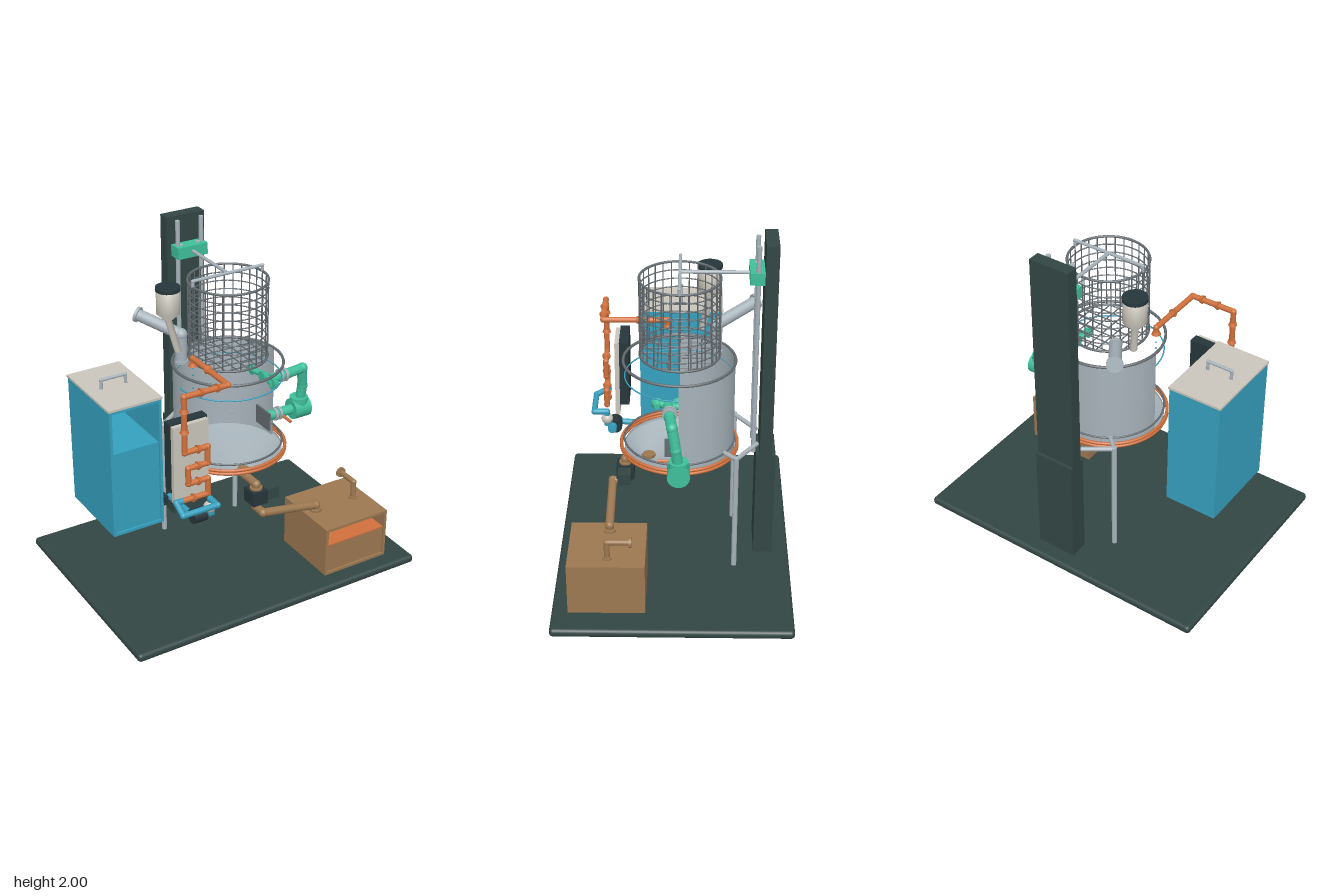
import * as THREE from 'three';
import { mergeGeometries } from 'three/addons/utils/BufferGeometryUtils.js';
import { RoundedBoxGeometry } from 'three/addons/geometries/RoundedBoxGeometry.js';

const material = (name, color, side = THREE.FrontSide) => {
  const m = new THREE.MeshStandardMaterial({ color, side });
  m.name = name;
  return m;
};
const V = (p) => new THREE.Vector3(...p);

export function createModel() {
  const model = new THREE.Group();
  model.name = 'brewingRig';

  const frame = material('darkFrame', 0x324644);
  const motor = material('motorDark', 0x26363a);
  const steel = material('steel', 0xa6b2b9, THREE.DoubleSide);
  const wire = material('wireGrey', 0x646c71);
  const green = material('green', 0x3fbf9b);
  const copper = material('copper', 0xd0703c);
  const brown = material('brown', 0x9c7851);
  const blue = material('blue', 0x35a0be);
  const cream = material('cream', 0xcac6bc);

  const add = (name, geometry, mat, pos = [0, 0, 0]) => {
    const m = new THREE.Mesh(geometry, mat);
    m.name = name;
    m.position.set(...pos);
    model.add(m);
    return m;
  };
  // box from its minimum and maximum corners
  const box = (name, a, b, mat) => add(name,
    new THREE.BoxGeometry(b[0] - a[0], b[1] - a[1], b[2] - a[2]), mat,
    a.map((v, i) => (v + b[i]) / 2));
  // cylinder between two points
  const rodGeo = (a, b, r, r2 = r, sides = 20) => {
    const p = V(a), q = V(b), d = q.clone().sub(p);
    const g = new THREE.CylinderGeometry(r2, r, d.length(), sides);
    g.applyQuaternion(new THREE.Quaternion().setFromUnitVectors(new THREE.Vector3(0, 1, 0), d.normalize()));
    const c = p.add(q).multiplyScalar(0.5);
    return g.translate(c.x, c.y, c.z);
  };
  const rod = (name, a, b, r, mat, r2, sides) => add(name, rodGeo(a, b, r, r2, sides), mat);
  // pipe through points with round joints
  const pipe = (name, pts, r, mat) => {
    const parts = [];
    for (let i = 0; i < pts.length - 1; i++) {
      parts.push(rodGeo(pts[i], pts[i + 1], r, r, 16));
      if (i) parts.push(new THREE.SphereGeometry(r * 1.08, 16, 10).translate(...pts[i]));
    }
    return add(name, mergeGeometries(parts), mat);
  };
  const ringGeo = (r, tube, y, seg = 64) => new THREE.TorusGeometry(r, tube, 8, seg).rotateX(Math.PI / 2).translate(0, y, 0);

  // base plate, feet and mast
  add('basePlate', new RoundedBoxGeometry(1.83, 0.05, 1.33, 4, 0.022), frame, [0, 0.053, 0]);
  for (const x of [-0.755, 0.755]) for (const z of [-0.52, 0.52])
    rod('foot', [x, 0, z], [x, 0.035, z], 0.045, frame);
  box('mast', [-0.07, 0.07, -0.55], [0.17, 2, -0.48], frame);
  box('mastFoot', [-0.07, 0.07, -0.57], [0.17, 0.735, -0.46], frame);

  // lift rails, carriage and arm
  for (const x of [-0.02, 0.13]) rod('rail', [x, 0.74, -0.445], [x, 1.985, -0.445], 0.013, steel);
  box('carriage', [-0.043, 1.77, -0.48], [0.147, 1.838, -0.4], green);
  for (const x of [-0.005, 0.105]) rod('carriageBolt', [x, 1.838, -0.44], [x, 1.842, -0.44], 0.014, steel);
  pipe('liftArm', [[0.053, 1.805, -0.42], [0.053, 1.805, -0.03]], 0.01, steel);

  // wire basket
  const bx = 0.055, bz = -0.03, br = 0.22, y0 = 1.32, y1 = 1.77;
  const wires = [ringGeo(br, 0.007, y0), ringGeo(br, 0.007, y1)];
  for (let i = 1; i < 9; i++) wires.push(ringGeo(br, 0.0035, y0 + (y1 - y0) * i / 9, 48));
  for (let i = 0; i < 28; i++) {
    const a = i / 28 * Math.PI * 2, x = Math.cos(a) * br, z = Math.sin(a) * br;
    wires.push(rodGeo([x, y0, z], [x, y1, z], 0.0035, 0.0035, 6));
  }
  for (let i = -3; i <= 3; i++) {
    const d = i * 0.06, h = Math.sqrt(br * br - d * d);
    wires.push(rodGeo([d, y0, -h], [d, y0, h], 0.0035, 0.0035, 6));
    wires.push(rodGeo([-h, y0, d], [h, y0, d], 0.0035, 0.0035, 6));
  }
  add('basket', mergeGeometries(wires), wire, [bx, 0, bz]);
  pipe('basketHandle', [[bx - br, y1, bz], [bx - br, 1.805, bz], [bx + br, 1.805, bz], [bx + br, y1, bz]], 0.009, steel);

  // vessel: rear half wall, full rim and an off-centre funnel floor
  const cx = 0.053, cz = -0.028;
  const wall = [[0.308, 0.72], [0.308, 1.28], [0.3, 1.28], [0.3, 0.72]].map((p) => new THREE.Vector2(...p));
  add('vesselWall', new THREE.LatheGeometry(wall, 48, Math.PI / 2, Math.PI), steel, [cx, 0, cz]);
  add('vesselRim', ringGeo(0.31, 0.008, 1.28), wire, [cx, 0, cz]);
  add('lowerLip', ringGeo(0.31, 0.006, 0.79), wire, [cx, 0, cz]);
  add('fillLine', ringGeo(0.303, 0.004, 1.185), blue, [cx, 0, cz]);
  const floor = new THREE.LatheGeometry([[0.035, 0.655], [0.31, 0.72], [0.31, 0.745]].map((p) => new THREE.Vector2(...p)), 64);
  const fp = floor.attributes.position;
  for (let i = 0; i < fp.count; i++) fp.setZ(i, fp.getZ(i) + 0.173 * THREE.MathUtils.clamp((0.72 - fp.getY(i)) / 0.065, 0, 1));
  floor.computeVertexNormals();
  add('vesselFloor', floor, steel, [cx, 0, cz]);
  for (const y of [0.742, 0.762]) add('heatingRing', ringGeo(0.328, 0.009, y), copper, [cx, 0, cz]);

  // legs with braces to the mast and vessel
  for (const s of [-1, 1]) {
    const lx = 0.05 + s * 0.25;
    rod('leg', [lx, 0.08, -0.345], [lx, 0.8, -0.345], 0.015, steel);
    pipe('legBrace', [[0.05 + s * 0.08, 0.79, -0.465], [lx, 0.79, -0.345], [0.05 + s * 0.17, 0.79, -0.27]], 0.013, steel);
  }

  // open-fronted tank: five walls and the liquid behind the frame
  const tank = (name, a, b, level, mat) => {
    const t = 0.016;
    box(name + 'Back', a, [b[0], b[1], a[2] + t], mat);
    box(name + 'Floor', a, [b[0], a[1] + t, b[2]], mat);
    box(name + 'Top', [a[0], b[1] - t, a[2]], b, mat);
    box(name + 'Side', a, [a[0] + t, b[1], b[2]], mat);
    box(name + 'Side', [b[0] - t, a[1], a[2]], b, mat);
    box(name + 'Liquid', [a[0] + t, a[1] + t, a[2] + t], [b[0] - t, level, b[2] - 0.012], mat);
  };
  tank('waterTank', [-0.81, 0.54, -0.272], [-0.502, 1.3, 0.213], 1.04, blue);
  box('waterTankLid', [-0.815, 1.3, -0.276], [-0.497, 1.313, 0.217], cream);
  pipe('lidHandle', [[-0.73, 1.31, -0.03], [-0.73, 1.365, -0.03], [-0.585, 1.365, -0.03], [-0.585, 1.31, -0.03]], 0.009, steel);
  tank('collectTank', [0.342, 0.085, 0.148], [0.765, 0.39, 0.573], 0.275, brown);
  box('collectLevel', [0.358, 0.274, 0.16], [0.749, 0.28, 0.563], copper);

  // vent on the collecting tank
  pipe('vent', [[0.68, 0.38, 0.355], [0.68, 0.495, 0.355], [0.68, 0.495, 0.23]], 0.016, brown);
  rod('ventFlange', [0.68, 0.495, 0.235], [0.68, 0.495, 0.22], 0.03, brown);
  rod('ventCollar', [0.68, 0.39, 0.355], [0.68, 0.4, 0.355], 0.026, brown);

  // drain line with its valve
  rod('drainInlet', [0.053, 0.64, 0.145], [0.053, 0.672, 0.145], 0.036, brown);
  pipe('drainPipe', [[0.053, 0.66, 0.145], [0.053, 0.638, 0.165], [0.053, 0.638, 0.28], [0.053, 0.49, 0.28], [0.053, 0.49, 0.355],
    [0.415, 0.425, 0.355], [0.415, 0.35, 0.355]], 0.024, brown);
  for (const y of [0.39, 0.35]) rod('drainCollar', [0.415, y, 0.355], [0.415, y + 0.012, 0.355], 0.036, brown);
  for (const y of [0.515, 0.61]) rod('valveCollar', [0.053, y, 0.28], [0.053, y + 0.012, 0.28], 0.036, brown);
  box('drainValve', [0.005, 0.525, 0.23], [0.1, 0.61, 0.33], motor);
  box('valveActuator', [0.1, 0.535, 0.245], [0.182, 0.605, 0.32], frame);

  // heat exchanger panel and copper coil
  box('exchangerBack', [-0.52, 0.795, 0.27], [-0.29, 1.2, 0.325], motor);
  box('exchangerPlate', [-0.512, 0.725, 0.325], [-0.298, 1.19, 0.352], cream);
  const kz = 0.405, xl = -0.475, xm = -0.455, xr = -0.335;
  pipe('copperCoil', [[-0.21, 1.35, 0.04], [-0.21, 1.39, 0.04], [-0.21, 1.39, kz], [xl, 1.39, kz], [xl, 1.06, kz], [xr, 1.06, kz],
    [xr, 0.96, kz], [xm, 0.96, kz], [xm, 0.865, kz], [xr, 0.865, kz], [xr, 0.77, kz], [-0.5, 0.77, kz]], 0.016, copper);
  rod('coilNozzle', [-0.21, 1.365, 0.04], [-0.21, 1.345, 0.04], 0.018, copper, 0.026);
  for (const [p, d] of [[[xl, 1.3, kz], 1], [[xl, 1.18, kz], 1], [[-0.38, 1.39, kz], 0], [[-0.28, 1.39, kz], 0], [[-0.21, 1.39, 0.2], 2],
    [[-0.4, 1.06, kz], 0], [[-0.4, 0.96, kz], 0], [[-0.4, 0.865, kz], 0], [[-0.43, 0.77, kz], 0]]) {
    const q = [...p];
    q[d] += 0.02;
    rod('coilCollar', p, q, 0.025, copper, 0.018);
  }
  for (let i = 0; i < 4; i++) add('drip', new THREE.SphereGeometry(0.005, 8, 6), blue, [-0.21, 1.33 - i * 0.04, 0.04]);

  // cooling water line with filter bowl and pump
  pipe('coolingInlet', [[-0.49, 0.77, kz], [-0.53, 0.77, kz], [-0.53, 0.73, 0.48], [-0.32, 0.73, 0.48], [-0.32, 0.73, kz], [-0.32, 0.64, kz]], 0.017, blue);
  add('filterBowl', new THREE.SphereGeometry(0.034, 24, 16), cream, [-0.325, 0.682, kz]);
  rod('coolingPump', [-0.412, 0.62, 0.36], [-0.33, 0.62, 0.36], 0.042, motor);
  rod('pumpHead', [-0.33, 0.625, 0.375], [-0.29, 0.625, 0.375], 0.026, blue);
  pipe('coolingOutlet', [[-0.4, 0.62, 0.34], [-0.395, 0.6, 0.09], [-0.5, 0.6, 0.09]], 0.018, blue);
  box('checkValve', [-0.475, 0.573, 0.062], [-0.42, 0.625, 0.118], motor);
  rod('tankPort', [-0.503, 0.6, 0.09], [-0.488, 0.6, 0.09], 0.03, blue);

  // circulation loop with pump and spray manifold
  pipe('circulationPipe', [[0.3, 1.125, 0.03], [0.42, 1.125, 0.02], [0.535, 1.125, 0.005], [0.553, 1.0, -0.015], [0.545, 0.88, -0.03]], 0.029, green);
  pipe('sprayManifold', [[0.275, 1.125, 0.09], [0.305, 1.125, -0.02], [0.275, 1.125, -0.14]], 0.018, green);
  for (const z of [0.09, -0.02, -0.13]) rod('sprayNozzle', [0.31, 1.125, z], [0.272, 1.125, z], 0.016, green, 0.034);
  rod('circulationPump', [0.487, 0.853, -0.03], [0.595, 0.853, -0.03], 0.062, green);
  rod('pumpTop', [0.541, 0.88, -0.03], [0.541, 0.925, -0.03], 0.054, green);
  rod('suctionPipe', [0.29, 0.853, -0.03], [0.49, 0.853, -0.03], 0.03, green);
  for (const y of [0.853, 1.125]) for (const x of [0.365, 0.395])
    rod('pipeClamp', [x, y, y > 1 ? 0.02 : -0.03], [x + 0.013, y, y > 1 ? 0.02 : -0.03], 0.04, steel);
  box('suctionScreen', [0.285, 0.8, -0.09], [0.295, 0.912, 0.05], wire);
  pipe('sampleTap', [[0.41, 0.845, -0.02], [0.41, 0.845, 0.085]], 0.009, copper);

  // dosing hopper
  const hopper = [[0, 1.35], [0.02, 1.35], [0.02, 1.53], [0.066, 1.575], [0.066, 1.715], [0, 1.715]].map((p) => new THREE.Vector2(...p));
  const hg = new THREE.LatheGeometry(hopper, 32).toNonIndexed();
  const hp = hg.attributes.position;
  for (let i = 0; i < hp.count; i++) { // lean the neck toward the vessel
    const k = Math.max(0, (1.53 - hp.getY(i)) / 0.18);
    hp.setXYZ(i, hp.getX(i) + k * 0.035, hp.getY(i), hp.getZ(i) + k * 0.04);
  }
  add('hopper', hg, cream, [-0.228, 0, -0.193]);
  rod('hopperLid', [-0.228, 1.708, -0.193], [-0.228, 1.728, -0.193], 0.07, motor);

  // exhaust chute
  pipe('chute', [[-0.28, 1.475, -0.45], [-0.13, 1.405, -0.23], [-0.13, 1.24, -0.23]], 0.034, steel);
  rod('chuteFlange', [-0.286, 1.478, -0.459], [-0.277, 1.474, -0.446], 0.045, steel);
  rod('chuteOutlet', [-0.13, 1.235, -0.23], [-0.13, 1.25, -0.23], 0.042, steel);

  return model;
}
